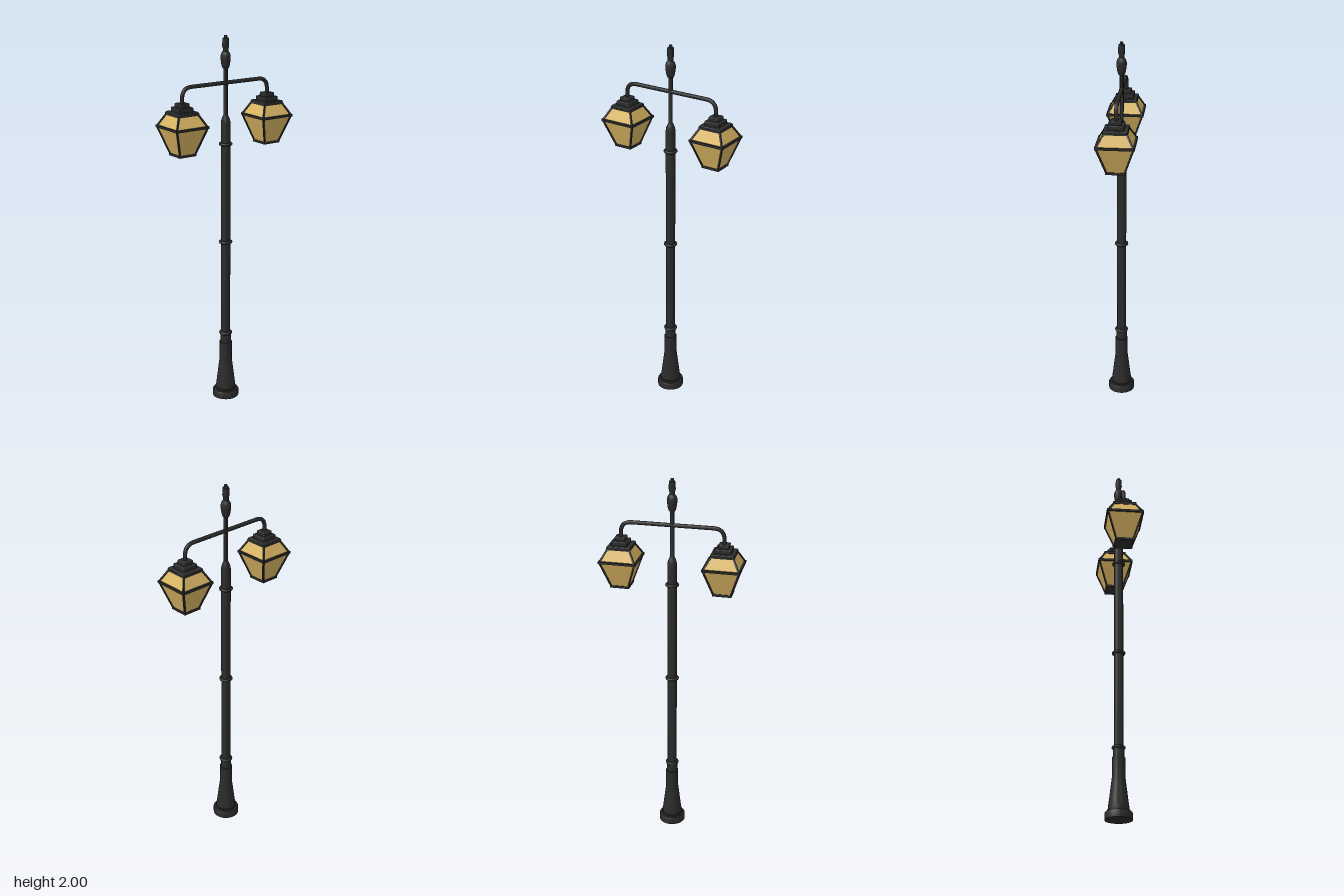
import * as THREE from 'three';
import { toCreasedNormals } from 'three/addons/utils/BufferGeometryUtils.js';
import { RoundedBoxGeometry } from 'three/addons/geometries/RoundedBoxGeometry.js';

const iron = new THREE.MeshStandardMaterial({ color: 0x2b2b2b });
const amber = new THREE.MeshStandardMaterial({ color: 0xd9b562 });

function part(parent, name, geometry, material = iron) {
  const mesh = new THREE.Mesh(geometry, material);
  mesh.name = name;
  parent.add(mesh);
  return mesh;
}

function turned(points, segments = 32) {
  const profile = points.map(([r, y]) => new THREE.Vector2(r, y));
  return toCreasedNormals(new THREE.LatheGeometry(profile, segments), 0.6);
}

// Square bar running between two points
function bar(parent, name, a, b, t) {
  const dir = b.clone().sub(a);
  const mesh = part(parent, name, new THREE.BoxGeometry(t, dir.length() + t, t));
  mesh.position.copy(a).lerp(b, 0.5);
  mesh.quaternion.setFromUnitVectors(new THREE.Vector3(0, 1, 0), dir.normalize());
}

// Four-sided tapered block with flat sides, given half widths
function squareFrustum(top, bottom, height) {
  const g = new THREE.CylinderGeometry(top * Math.SQRT2, bottom * Math.SQRT2, height, 4);
  return toCreasedNormals(g.rotateY(Math.PI / 4), 0.3);
}

function createLantern() {
  const lantern = new THREE.Group();
  lantern.name = 'lantern';
  const levels = [[0.044, 1.418], [0.092, 1.561], [0.056, 1.626]]; // half width, height
  const corner = ([h, y], i) => {
    const a = Math.PI / 4 + i * Math.PI / 2;
    return new THREE.Vector3(h * Math.SQRT2 * Math.cos(a), y, h * Math.SQRT2 * Math.sin(a));
  };

  // Amber panes
  ['lowerGlass', 'upperGlass'].forEach((name, k) => {
    const [lo, hi] = [levels[k], levels[k + 1]];
    part(lantern, name, squareFrustum(hi[0], lo[0], hi[1] - lo[1]), amber)
      .position.y = (lo[1] + hi[1]) / 2;
  });

  // Iron frame along every edge
  levels.forEach((level, k) => {
    for (let i = 0; i < 4; i++) {
      bar(lantern, 'frameRail', corner(level, i), corner(level, i + 1), 0.012);
      if (k < 2) bar(lantern, 'framePost', corner(level, i), corner(levels[k + 1], i), 0.009);
    }
  });
  part(lantern, 'lanternFloor', new THREE.BoxGeometry(0.09, 0.012, 0.09)).position.y = 1.417;

  // Stepped cap
  [[0.122, 0.018, 1.63], [0.084, 0.026, 1.648], [0.056, 0.026, 1.668]].forEach(([w, h, y]) => {
    part(lantern, 'capStep', new RoundedBoxGeometry(w, h, w, 3, 0.005)).position.y = y;
  });
  return lantern;
}

export function createModel() {
  const model = new THREE.Group();
  model.name = 'streetLamp';

  // Round foot and flared pedestal
  part(model, 'foot', turned([
    [0, 0], [0.071, 0], [0.071, 0.034], [0.067, 0.04], [0.058, 0.042], [0.058, 0.05], [0, 0.05],
  ]));
  part(model, 'pedestal', turned([
    [0.054, 0.045], [0.054, 0.06], [0.05, 0.09], [0.045, 0.13], [0.039, 0.18],
    [0.034, 0.22], [0.034, 0.322], [0.025, 0.322],
  ]));

  // Shaft, narrowing to a thin rod
  part(model, 'shaft', turned([
    [0.029, 0.32], [0.029, 0.37], [0.025, 0.375], [0.025, 1.55], [0.022, 1.567],
    [0.015, 1.583], [0.011, 1.592], [0.011, 1.84],
  ]));
  for (const y of [0.375, 0.9, 1.437]) {
    const ring = part(model, 'shaftRing', new THREE.TorusGeometry(0.028, 0.008, 10, 32));
    ring.rotation.x = Math.PI / 2;
    ring.position.y = y;
  }

  // Finial
  part(model, 'finial', turned([
    [0.011, 1.828], [0.017, 1.833], [0.022, 1.85], [0.026, 1.878], [0.026, 1.895],
    [0.021, 1.91], [0.014, 1.918], [0.014, 1.93], [0.018, 1.945], [0.016, 1.984], [0.009, 1.987],
    [0.008, 1.997], [0, 2],
  ], 24));

  // Double arm with rounded drops at both ends
  const reach = 0.268, armY = 1.757, bend = 0.058;
  const v = (y, z) => new THREE.Vector3(0, y, z);
  const path = new THREE.CurvePath();
  path.add(new THREE.LineCurve3(v(1.67, -reach), v(armY - bend, -reach)));
  path.add(new THREE.QuadraticBezierCurve3(v(armY - bend, -reach), v(armY, -reach), v(armY, bend - reach)));
  path.add(new THREE.LineCurve3(v(armY, bend - reach), v(armY, reach - bend)));
  path.add(new THREE.QuadraticBezierCurve3(v(armY, reach - bend), v(armY, reach), v(armY - bend, reach)));
  path.add(new THREE.LineCurve3(v(armY - bend, reach), v(1.67, reach)));
  part(model, 'arm', new THREE.TubeGeometry(path, 100, 0.0105, 14));

  // A lantern at each end
  for (const side of [-1, 1]) {
    const lantern = createLantern();
    lantern.position.z = side * reach;
    model.add(lantern);
  }
  return model;
}
